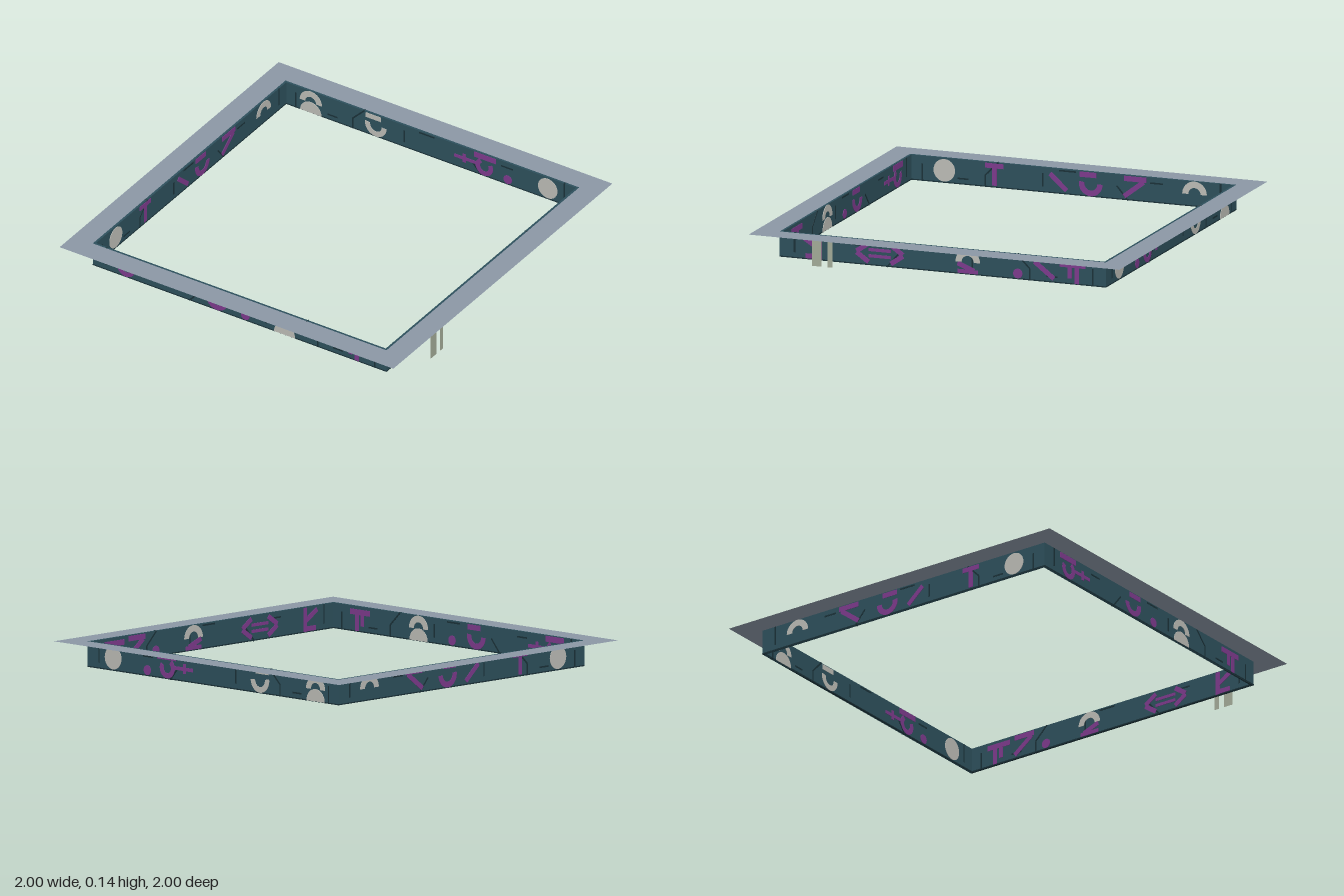
import * as THREE from 'three';

const H = 0.13, WALL = 0.012, SIDE = 1.76, INLAY = 0.017, SEAM = 0.015;
const mat = (color, side = THREE.FrontSide) => new THREE.MeshStandardMaterial({ color, side });
const teal = mat(0x2d505c), dark = mat(0x1a3138), violet = mat(0x7d3a8c);
const pale = mat(0xbcbcb6), steel = mat(0x8b97a5, THREE.DoubleSide), sage = mat(0xa3ab98, THREE.DoubleSide);

function add(parent, name, geometry, material) {
  const mesh = new THREE.Mesh(geometry, material);
  mesh.name = name;
  parent.add(mesh);
  return mesh;
}

// Straight inlaid strip between two points of the wall face
function bar(wall, [x1, y1, x2, y2], width = 0.025, material = violet, depth = INLAY, name = 'inlayBar') {
  const strip = add(wall, name, new THREE.BoxGeometry(Math.hypot(x2 - x1, y2 - y1), width, depth), material);
  strip.position.set((x1 + x2) / 2, (y1 + y2) / 2, 0);
  strip.rotation.z = Math.atan2(y2 - y1, x2 - x1);
}

// Ring segment (or sector when the inner radius is 0), visible on both wall faces
function arc(wall, x, y, outer, inner, from, to, material = violet) {
  const shape = new THREE.Shape();
  shape.absarc(0, 0, outer, from * Math.PI, to * Math.PI, false);
  if (inner > 0) shape.absarc(0, 0, inner, to * Math.PI, from * Math.PI, true);
  const geometry = new THREE.ExtrudeGeometry(shape, { depth: INLAY, bevelEnabled: false, curveSegments: 24 });
  add(wall, 'inlayArc', geometry.translate(0, 0, -INLAY / 2), material).position.set(x, y, 0);
}

function disc(wall, x, y, r, material = violet) {
  const geometry = new THREE.CylinderGeometry(r, r, INLAY, 28).rotateX(Math.PI / 2);
  add(wall, 'inlayDisc', geometry, material).position.set(x, y, 0);
}

// Half disc with an arch over it
function sunrise(wall, x, material = pale) {
  arc(wall, x, 0.063, 0.066, 0.033, 0, 1, material);
  arc(wall, x, 0.002, 0.063, 0, 0, 1, material);
}

// Cross strip with two prongs
function prongs(wall, x) {
  bar(wall, [x - 0.07, 0.1, x + 0.07, 0.1], 0.028);
  bar(wall, [x - 0.015, 0.03, x - 0.015, 0.09], 0.022);
  bar(wall, [x + 0.023, 0.004, x + 0.023, 0.09], 0.025);
}

// Open ring under a short strip, with a crossed strip beside it
function ringAndCross(wall, x) {
  arc(wall, x, 0.056, 0.052, 0.026, 0.85, 2.3);
  bar(wall, [x - 0.07, 0.112, x + 0.06, 0.112], 0.03);
  bar(wall, [x + 0.05, 0.063, x + 0.18, 0.063], 0.018);
  bar(wall, [x + 0.12, 0.04, x + 0.12, 0.09], 0.018);
}

// Hook-shaped curve
function hook(wall, x, material = violet) {
  arc(wall, x, 0.067, 0.064, 0.035, 1, 2.05, material);
  bar(wall, [x - 0.03, 0.112, x + 0.06, 0.112], 0.027, material);
}

// Two facing chevrons around a pair of strips
function lens(wall, x) {
  for (const s of [-1, 1]) {
    bar(wall, [x + s * 0.125, 0.068, x + s * 0.06, 0.113], 0.025);
    bar(wall, [x + s * 0.125, 0.062, x + s * 0.06, 0.017], 0.025);
    bar(wall, [x - 0.06, 0.065 + s * 0.016, x + 0.06, 0.065 + s * 0.016], 0.016);
  }
}

// Angled strip pair
function chevron(wall, x) {
  bar(wall, [x + 0.06, 0.112, x - 0.06, 0.112], 0.027);
  bar(wall, [x - 0.045, 0.1, x + 0.06, 0.02], 0.025);
}

const decorate = {
  front(w) {
    ringAndCross(w, -0.68);
    hook(w, -0.135);
    disc(w, 0.035, 0.03, 0.025);
    sunrise(w, 0.27);
    prongs(w, 0.68);
  },
  right(w) {
    bar(w, [-0.75, 0.11, -0.67, 0.06]);
    bar(w, [-0.74, 0.018, -0.66, 0.018]);
    bar(w, [-0.665, 0.004, -0.665, 0.126]);
    lens(w, -0.34);
    arc(w, 0.135, 0.063, 0.066, 0.033, 0, 1, pale);
    bar(w, [0.08, 0.055, 0.17, 0.02]);
    bar(w, [0.08, 0.015, 0.19, 0.015], 0.02);
    disc(w, 0.405, 0.03, 0.025);
    chevron(w, 0.54);
    prongs(w, 0.7);
  },
  back(w) {
    disc(w, -0.7, 0.065, 0.058, pale);
    disc(w, -0.46, 0.03, 0.025);
    ringAndCross(w, -0.32);
    hook(w, 0.33, pale);
    sunrise(w, 0.72);
  },
  left(w) {
    arc(w, -0.66, 0.063, 0.066, 0.033, 0, 1, pale);
    chevron(w, -0.34);
    hook(w, -0.1);
    bar(w, [0.03, 0.02, 0.12, 0.1]);
    bar(w, [0.42, 0.01, 0.42, 0.12]);
    bar(w, [0.37, 0.112, 0.47, 0.112]);
    disc(w, 0.69, 0.065, 0.058, pale);
  },
};

// Dark panel seams shared by all walls
const seams = [
  [-0.8, 0.03, -0.8, 0.13], [-0.49, 0.1, -0.42, 0.1], [-0.3, 0, -0.24, 0.07],
  [-0.02, 0.12, 0.07, 0.12], [0.16, 0.03, 0.16, 0.1], [0.4, 0.13, 0.47, 0.06],
  [0.47, 0.06, 0.47, 0], [0.56, 0.03, 0.62, 0.03], [0.81, 0, 0.81, 0.09],
];

export function createModel() {
  const model = new THREE.Group();
  model.name = 'squareFrame';

  // Flat rim around the top
  const rim = new THREE.Shape([[-1, -1], [1, -1], [1, 1], [-1, 1]].map(p => new THREE.Vector2(...p)));
  const h = SIDE / 2;
  rim.holes.push(new THREE.Path([[-h, -h], [-h, h], [h, h], [h, -h]].map(p => new THREE.Vector2(...p))));
  add(model, 'topRim', new THREE.ShapeGeometry(rim).rotateX(-Math.PI / 2), steel).position.y = H;

  // Four decorated walls
  ['front', 'right', 'back', 'left'].forEach((name, i) => {
    const turn = new THREE.Group();
    turn.name = name + 'Wall';
    turn.rotation.y = i * Math.PI / 2;
    const wall = new THREE.Group();
    wall.name = name + 'Panel';
    wall.position.z = h - WALL / 2;
    const length = i % 2 ? SIDE - 2 * WALL : SIDE;
    add(wall, 'panel', new THREE.BoxGeometry(length, H, WALL), teal).position.y = H / 2;
    for (const s of seams) bar(wall, s, 0.008, dark, SEAM, 'seam');
    bar(wall, [-h, 0.003, h, 0.003], 0.006, dark, WALL + 0.001, 'lowerEdge');
    decorate[name](wall);
    turn.add(wall);
    model.add(turn);
  });

  // Two thin upright strips at the outer edge of the right side
  for (const [z, width] of [[0.632, 0.053], [0.56, 0.027]]) {
    const strip = add(model, 'uprightStrip', new THREE.PlaneGeometry(width, H).rotateY(Math.PI / 2), sage);
    strip.position.set(1, H / 2, z);
  }
  return model;
}
